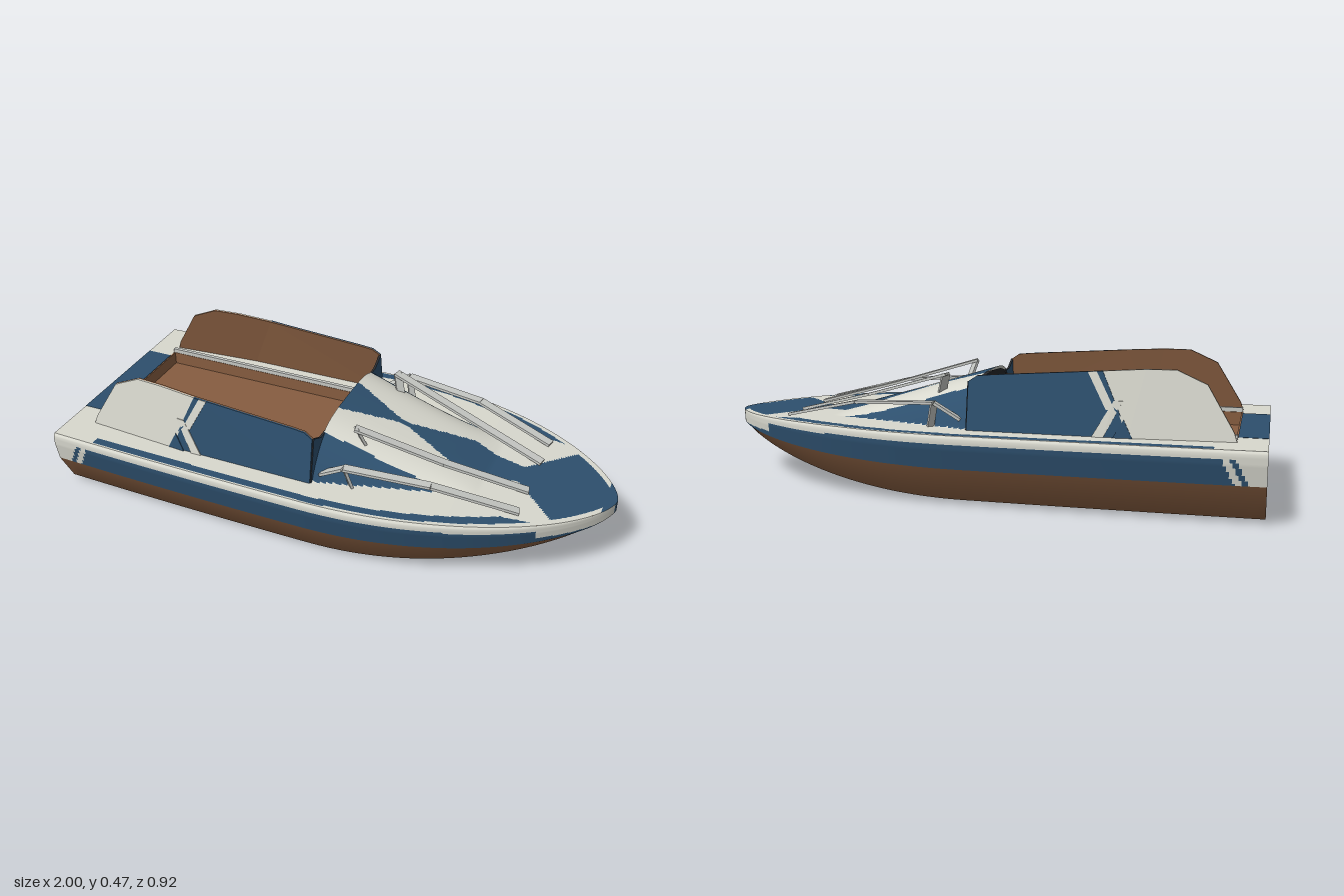
import * as THREE from 'three';

const mat = (name, color) => {
  const m = new THREE.MeshStandardMaterial({ color, side: THREE.DoubleSide });
  m.name = name;
  return m;
};
const white = mat('off white', 0xd8d8ce);
const blue = mat('navy blue', 0x2d4f6d);
const brown = mat('brown', 0x865d40);
const grey = mat('rail grey', 0xc6c8c4);
const dark = mat('dark trim', 0x2a2c30);

// Plan outline, deck line, keel and chine along the boat (bow at +x)
const beam = x => x < 0 ? 0.46 - 0.02 * x * x : 0.46 * Math.pow(Math.max(0, 1 - Math.pow(x, 2.1)), 0.64);
const deckY = x => 0.25 - 0.018 * Math.pow(Math.max(0, (x - 0.4) / 0.6), 2);
const keelY = x => x < 0 ? 0 : 0.187 * x * x;
const chineY = x => x < 0 ? 0.135 : 0.135 + 0.058 * x * x;
const deckEdge = 0.98;
const lerp = THREE.MathUtils.lerp;

// Piecewise linear curve through [t, value] points
function piecewise(pts, t) {
  for (let i = 1; i < pts.length; i++) {
    const [a, va] = pts[i - 1], [b, vb] = pts[i];
    if (t <= b) return lerp(va, vb, (t - a) / (b - a));
  }
  return pts[pts.length - 1][1];
}

// Grid surface with one material per cell, picked by a colour rule
function surface(name, fn, nu, nv, mats, pick = () => 0) {
  const pos = [], faces = mats.map(() => []);
  for (let i = 0; i <= nu; i++) for (let j = 0; j <= nv; j++) pos.push(...fn(i / nu, j / nv));
  for (let i = 0; i < nu; i++) for (let j = 0; j < nv; j++) {
    const a = i * (nv + 1) + j, d = a + nv + 1;
    const [x, y, z] = fn((i + 0.5) / nu, (j + 0.5) / nv);
    faces[pick(x, y, z)].push(a, a + 1, d, a + 1, d + 1, d);
  }
  const g = new THREE.BufferGeometry();
  g.setAttribute('position', new THREE.Float32BufferAttribute(pos, 3));
  g.setIndex(faces.flat());
  let start = 0;
  faces.forEach((f, k) => { g.addGroup(start, f.length, k); start += f.length; });
  g.computeVertexNormals();
  const m = new THREE.Mesh(g, mats);
  m.name = name;
  return m;
}

function box(name, material, x0, x1, y0, y1, z0, z1) {
  const m = new THREE.Mesh(new THREE.BoxGeometry(x1 - x0, y1 - y0, z1 - z0), material);
  m.position.set((x0 + x1) / 2, (y0 + y1) / 2, (z0 + z1) / 2);
  m.name = name;
  return m;
}

// Flat bars joining a row of points
function bars(name, points, w, h) {
  const g = new THREE.Group();
  g.name = name;
  for (let i = 1; i < points.length; i++) {
    const a = new THREE.Vector3(...points[i - 1]), b = new THREE.Vector3(...points[i]);
    const m = new THREE.Mesh(new THREE.BoxGeometry(w, h, a.distanceTo(b)), grey);
    m.position.copy(a).lerp(b, 0.5);
    m.lookAt(b);
    m.name = 'bar';
    g.add(m);
  }
  return g;
}

// Cockpit side plate: outline in x/y, leaning inwards and tapering aft
function plate(name, pts, inset, depth, material) {
  const g = new THREE.ExtrudeGeometry(new THREE.Shape(pts.map(p => new THREE.Vector2(...p))), { depth, bevelEnabled: false });
  const p = g.attributes.position;
  for (let i = 0; i < p.count; i++) {
    const aft = Math.max(0, -0.5 - p.getX(i)) / 0.4 * 0.03;
    p.setZ(i, p.getZ(i) - depth + 0.345 - inset - aft - 0.038 * (p.getY(i) - 0.25) / 0.225);
  }
  g.computeVertexNormals();
  const m = new THREE.Mesh(g, material);
  m.name = name;
  return m;
}

// Raised foredeck that fades out towards the bow
const humpHalf = x => 0.335 - 0.27 * x;
function foredeckY(x, z) {
  const t = Math.min(1, Math.abs(z) / humpHalf(x));
  return deckY(x) + 0.165 * Math.max(0, 1 - x / 0.55) * (1 - t ** 4);
}

// Colour rules: 0 is white, 1 is blue
const edgeStripe = (x, a) => {
  const d = (beam(x) - a) / (1 + Math.max(0, x) ** 2);
  return x > -0.83 && x < 0.76 && d > 0.017 && d < Math.min(0.048, 0.017 + (0.76 - x) * 0.3);
};
const centreBlue = [[0, 0.095], [0.2, 0.012], [0.24, 0.012], [0.46, 0.095], [0.66, 0.045], [0.82, 0.21], [1, 0.21]];
function foredeckColour(x, y, z) {
  const a = Math.abs(z);
  const rim = x < 0.96 && beam(x) - a < 0.018 * (1 + x * x);
  if (rim) return 0;
  const flank = x < 0.52 && a > 0.215 - 0.03 * x && a < humpHalf(x);
  return edgeStripe(x, a) || flank || a < piecewise(centreBlue, x) ? 1 : 0;
}
function sideColour(x, y, z) {
  if (Math.abs(z) < 0.022 && x > 0) return 1;
  if (y > 0.222) return 0;
  const s = x - (y - 0.135) * 0.5;
  if (s < -0.945 || (s > -0.925 && s < -0.9)) return 0;
  return x > 0.78 && y > 0.19 ? 0 : 1;
}

export function createModel() {
  const boat = new THREE.Group();
  boat.name = 'speedboat';
  const along = u => -1 + 2 * Math.sin(u * Math.PI / 2);

  // Hull bottom, chine to chine
  const bottomRow = [0.97, 0.83, 0.74, 0];
  boat.add(surface('hullBottom', (u, v) => {
    const x = along(u), s = v < 0.5 ? 1 : -1;
    const k = (0.5 - Math.abs(v - 0.5)) * 6, i = Math.min(2, Math.floor(k + 1e-6));
    const ys = [chineY(x), keelY(x) + 0.015, keelY(x) + 0.004, keelY(x)];
    return [x, lerp(ys[i], ys[i + 1], k - i), s * beam(x) * lerp(bottomRow[i], bottomRow[i + 1], k - i)];
  }, 60, 6, [brown]));

  // Hull sides with rim
  for (const s of [1, -1]) boat.add(surface(s > 0 ? 'hullSideRight' : 'hullSideLeft', (u, v) => {
    const x = along(u), t = s > 0 ? 1 - v : v;
    const w = piecewise([[0, 0.97], [0.6, 0.998], [0.85, 1], [0.95, 0.995], [1, deckEdge]], t);
    return [x, lerp(chineY(x), deckY(x), t), s * beam(x) * w];
  }, 320, 20, [white, blue], sideColour));

  // Transom with blue centre
  const half = [[0, 0], [0.326, 0.004], [0.365, 0.015], [0.427, 0.135], [0.44, 0.23], [0.431, 0.25]];
  const outline = [...half, [0, 0.25], ...half.slice(1).reverse().map(([z, y]) => [-z, y])];
  const tg = new THREE.ShapeGeometry(new THREE.Shape(outline.map(p => new THREE.Vector2(...p))));
  tg.rotateY(-Math.PI / 2).translate(-0.996, 0, 0);
  const transom = new THREE.Mesh(tg, white);
  transom.name = 'transom';
  boat.add(transom, box('transomCentre', blue, -1, -0.993, 0.003, 0.25, -0.23, 0.23));

  // Foredeck, with a dark lining under the raised part
  boat.add(surface('foredeck', (u, v) => {
    const x = Math.sin(u * Math.PI / 2), z = (v * 2 - 1) * beam(x) * deckEdge;
    return [x, foredeckY(x, z), z];
  }, 150, 150, [white, blue], foredeckColour));
  boat.add(surface('cabinLining', (u, v) => {
    const x = 0.002 + u * 0.48, z = (1 - v * 2) * (humpHalf(x) - 0.01);
    return [x, foredeckY(x, z) - 0.01, z];
  }, 16, 24, [dark]));

  // Aft deck, cockpit well and the floor under the foredeck
  boat.add(
    box('aftDeckCentre', blue, -1, -0.9, 0.24, 0.251, -0.23, 0.23),
    box('cockpitFloor', brown, -0.9, 0, 0.19, 0.2, -0.27, 0.27),
    box('cabinFloor', dark, 0, 0.4, 0.19, 0.2, -0.27, 0.27),
    box('cockpitAftWall', brown, -0.905, -0.895, 0.19, 0.249, -0.265, 0.265));

  for (const s of [1, -1]) {
    const side = new THREE.Group();
    side.name = s > 0 ? 'rightSide' : 'leftSide';
    side.scale.z = s;
    boat.add(side);

    // Side deck and the white aft corner
    side.add(surface('sideDeck', (u, v) => {
      const x = u - 1;
      return [x, 0.25, lerp(0.262, beam(x) * deckEdge, v)];
    }, 60, 50, [white, blue], (x, y, z) => edgeStripe(x, z) ? 1 : 0));
    side.add(box('aftDeckCorner', white, -1, -0.9, 0.24, 0.25, 0.23, 0.264));

    // Cockpit wall, coaming rail and dark gutter
    side.add(box('cockpitWall', brown, -0.9, 0, 0.19, 0.249, 0.26, 0.268));
    side.add(box('coamingRail', grey, -0.9, 0, 0.25, 0.266, 0.26, 0.274));
    side.add(box('coamingGutter', dark, -0.88, 0, 0.25, 0.256, 0.274, 0.286));

    // Side screens: painted outside, brown inside
    const aft = [[-0.9, 0.25], [-0.89, 0.28], [-0.8, 0.43], [-0.7, 0.475], [-0.6, 0.475], [-0.46, 0.466], [-0.55, 0.25]];
    const fore = [[-0.55, 0.25], [-0.46, 0.466], [-0.08, 0.44], [-0.03, 0.435], [0, 0.415], [0, 0.25]];
    side.add(plate('screenAft', aft, 0, 0.006, white), plate('screenFore', fore, 0, 0.006, blue));
    side.add(plate('screenAftLining', aft, 0.006, 0.006, brown), plate('screenForeLining', fore, 0.006, 0.006, brown));
    side.add(plate('screenStripeUpper', [[-0.44, 0.464], [-0.41, 0.462], [-0.475, 0.34], [-0.505, 0.34]], -0.002, 0.003, white));
    side.add(plate('screenStripeLower', [[-0.53, 0.37], [-0.5, 0.37], [-0.43, 0.25], [-0.47, 0.25]], -0.002, 0.003, white));
    side.add(plate('screenStripeGap', [[-0.46, 0.466], [-0.44, 0.464], [-0.505, 0.34], [-0.525, 0.32]], -0.002, 0.003, blue));
    side.add(plate('screenPatch', [[-0.565, 0.25], [-0.5, 0.25], [-0.535, 0.31]], -0.002, 0.003, blue));

    // Web joining the screen to the raised foredeck
    const web = new THREE.Mesh(new THREE.ExtrudeGeometry(new THREE.Shape(
      [[0.2, 0.385], [0.25, 0.385], [0.31, 0.415], [0.34, 0.25], [0.31, 0.25]].map(p => new THREE.Vector2(...p))),
      { depth: 0.008, bevelEnabled: false }), [blue, dark]);
    web.geometry.rotateY(-Math.PI / 2);
    web.position.x = 0.004;
    web.name = 'screenWeb';
    side.add(web);

    // Foredeck handrails with struts
    side.add(
      bars('innerHandrail', [[0.11, 0.42, 0.2], [0.42, 0.328, 0.15], [0.71, 0.252, 0.09]], 0.034, 0.01),
      bars('innerStrut', [[0.115, 0.42, 0.2], [0.14, 0.34, 0.175]], 0.03, 0.01),
      bars('outerHandrail', [[0.03, 0.28, 0.31], [0.12, 0.337, 0.325], [0.42, 0.322, 0.285], [0.71, 0.252, 0.215]], 0.034, 0.01),
      bars('outerStrut', [[0.12, 0.337, 0.325], [0.14, 0.25, 0.305]], 0.025, 0.01));
  }
  return boat;
}
